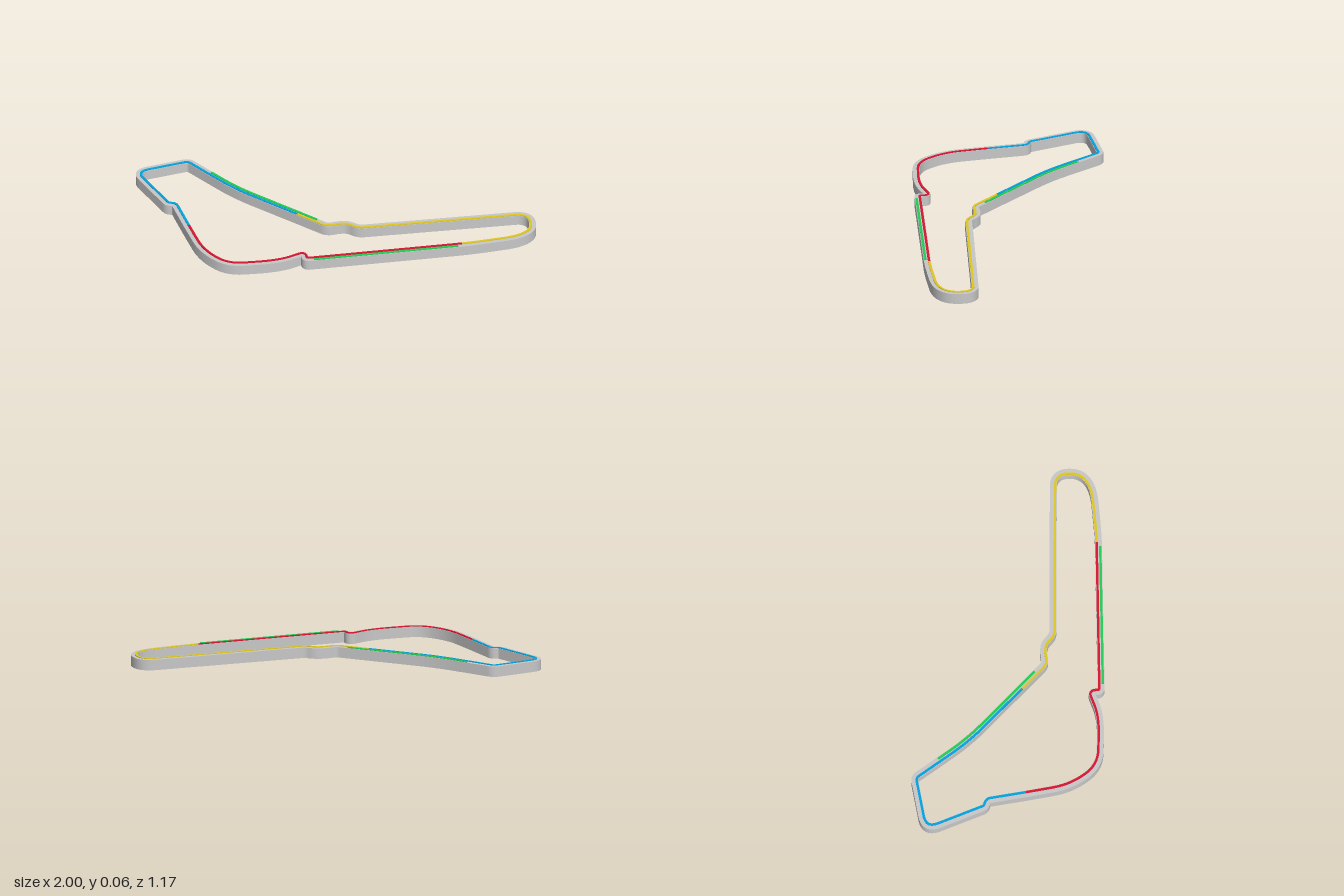
import * as THREE from 'three';

const N = 900;
const HALF = 0.019, TOP = 0.058, STRIPE_TOP = 0.062;

// Circuit corners: x, z, and how far the rounding reaches along each edge
const corners = [
  [-0.297, 0.49, 0.022], [0.60, 0.562, 0.08], [0.88, 0.563, 0.09], [0.972, 0.505, 0.055],
  [0.986, 0.40, 0.05], [0.945, 0.351, 0.035], [0.055, 0.262, 0.03], [0.01, 0.21, 0.033],
  [-0.04, 0.20, 0.024], [-0.105, 0.205, 0.03], [-0.505, -0.255, 0.12], [-0.69, -0.567, 0.025],
  [-1.0, -0.54, 0.085], [-0.897, -0.198, 0.018], [-0.86, -0.185, 0.018], [-0.842, 0.06, 0.1],
  [-0.822, 0.275, 0.1], [-0.72, 0.44, 0.09], [-0.44, 0.475, 0.12], [-0.293, 0.434, 0.024],
];

// Evenly spaced centre line with a leftward (inward) direction at each sample
function buildCentreLine() {
  const path = new THREE.Path();
  const n = corners.length;
  const pts = corners.map(([x, z]) => new THREE.Vector2(x, z));
  const towards = (a, b, d) => a.clone().add(b.clone().sub(a).setLength(Math.min(d, a.distanceTo(b) * 0.49)));
  pts.forEach((p, i) => {
    const a = towards(p, pts[(i + n - 1) % n], corners[i][2]);
    const b = towards(p, pts[(i + 1) % n], corners[i][2]);
    if (i === 0) path.moveTo(a.x, a.y);
    else path.lineTo(a.x, a.y);
    path.quadraticCurveTo(p.x, p.y, b.x, b.y);
  });
  path.closePath();
  const samples = path.getSpacedPoints(N).slice(0, N);
  return samples.map((p, i) => {
    const t = samples[(i + 1) % N].clone().sub(samples[(i + N - 1) % N]).normalize();
    return { x: p.x, z: p.y, lx: t.y, lz: -t.x };
  });
}

// Sweeps a rectangular section along part of the line (or the whole loop)
function sweep(line, left, right, y0, y1, start = 0, count = N) {
  const closed = count === N;
  const profile = [[left, y0], [left, y1], [right, y1], [right, y0]];
  const pos = [], index = [];
  const put = (i, [s, y]) => {
    const c = line[(start + i) % N];
    pos.push(c.x + c.lx * s, y, c.z + c.lz * s);
  };
  profile.forEach((a, k) => {
    const b = profile[(k + 1) % 4];
    const base = pos.length / 3;
    for (let i = 0; i < count; i++) { put(i, a); put(i, b); }
    for (let i = 0; i < (closed ? count : count - 1); i++) {
      const p = base + i * 2, q = base + ((i + 1) % count) * 2;
      index.push(p, p + 1, q + 1, p, q + 1, q);
    }
  });
  if (!closed) {
    for (const [i, flip] of [[0, true], [count - 1, false]]) {
      const b = pos.length / 3;
      profile.forEach((p) => put(i, p));
      if (flip) index.push(b, b + 2, b + 1, b, b + 3, b + 2);
      else index.push(b, b + 1, b + 2, b, b + 2, b + 3);
    }
  }
  const g = new THREE.BufferGeometry();
  g.setAttribute('position', new THREE.Float32BufferAttribute(pos, 3));
  g.setIndex(index);
  g.computeVertexNormals();
  return g;
}

export function createModel() {
  const group = new THREE.Group();
  const material = (name, color) => {
    const m = new THREE.MeshStandardMaterial({ color });
    m.name = name;
    return m;
  };
  const grey = material('track grey', 0xc8c8c8);
  const red = material('sector red', 0xd8142f);
  const blue = material('sector blue', 0x00a3e0);
  const yellow = material('sector yellow', 0xe0c820);
  const green = material('straight green', 0x22cc55);
  const add = (name, geometry, mat) => {
    const mesh = new THREE.Mesh(geometry, mat);
    mesh.name = name;
    group.add(mesh);
  };

  const line = buildCentreLine();
  const nearest = ([x, z]) => {
    let best = 0, bestD = Infinity;
    line.forEach((c, i) => {
      const d = Math.hypot(c.x - x, c.z - z);
      if (d < bestD) { bestD = d; best = i; }
    });
    return best;
  };

  // Solid track body
  add('trackBody', sweep(line, HALF, -HALF, 0, TOP), grey);

  // Raised stripes: sectors on the inner side, fast straights on the outer side
  const stripe = (name, mat, from, to, left, right) => {
    const a = nearest(from), b = nearest(to);
    add(name, sweep(line, left, right, TOP - 0.002, STRIPE_TOP, a, ((b - a + N) % N) + 1), mat);
  };
  const redStart = [-0.842, 0.03], yellowStart = [0.56, 0.557], blueStart = [-0.232, 0.06];
  stripe('redSector', red, redStart, yellowStart, 0.016, 0.003);
  stripe('yellowSector', yellow, yellowStart, blueStart, 0.016, 0.003);
  stripe('blueSector', blue, blueStart, redStart, 0.016, 0.003);
  stripe('frontStraight', green, [-0.25, 0.493], [0.54, 0.556], -0.003, -0.016);
  stripe('backStraight', green, [-0.155, 0.148], [-0.605, -0.42], -0.003, -0.016);
  return group;
}
